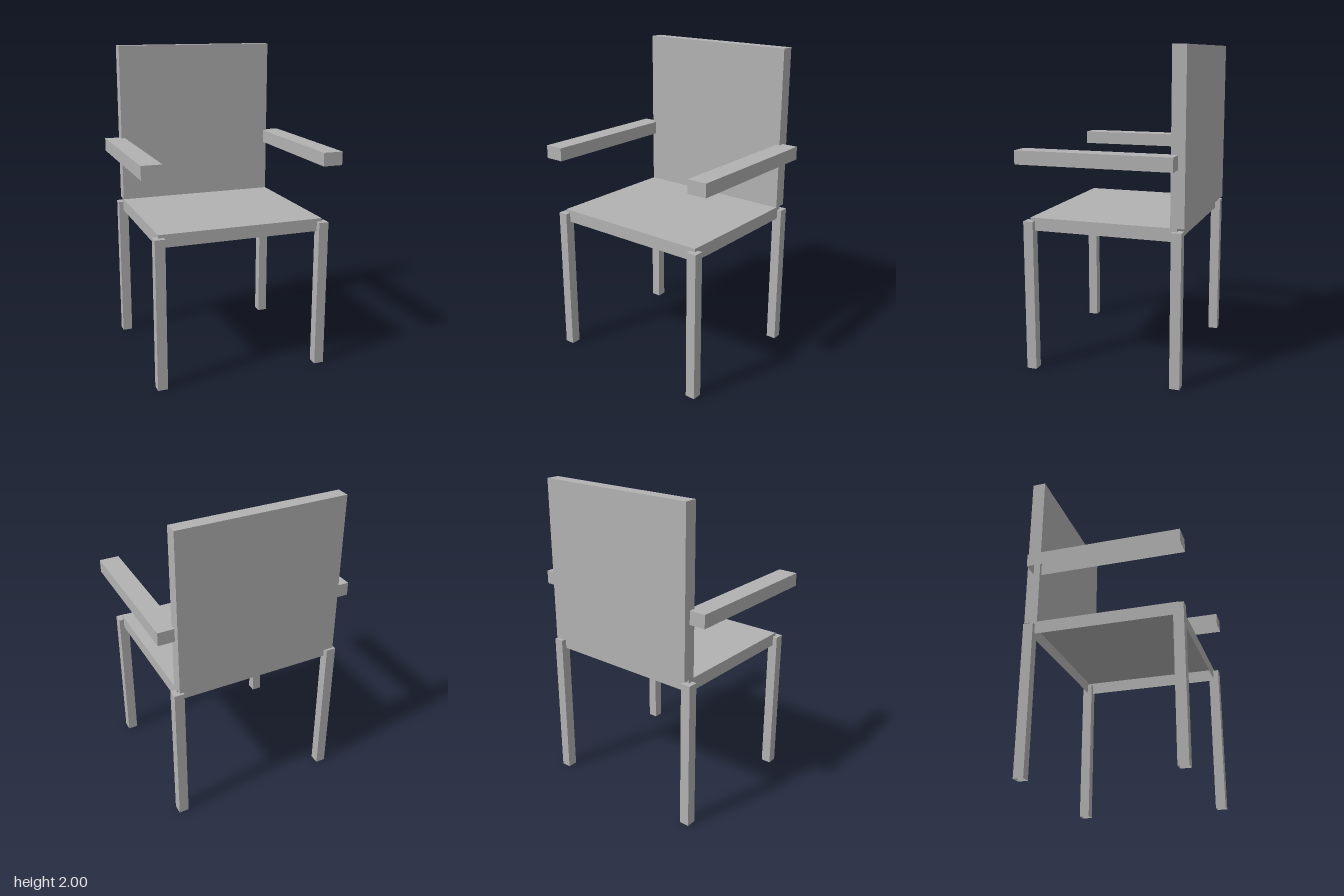
import * as THREE from 'three';

// Box shell with an open underside, given by its min and max on each axis
function shell(name, material, [x0, x1], [y0, y1], [z0, z1]) {
  const geometry = new THREE.BoxGeometry(x1 - x0, y1 - y0, z1 - z0);
  const index = Array.from(geometry.index.array);
  index.splice(18, 6); // drop the bottom face
  geometry.setIndex(index);
  geometry.clearGroups();
  geometry.translate((x0 + x1) / 2, (y0 + y1) / 2, (z0 + z1) / 2);
  const mesh = new THREE.Mesh(geometry, material);
  mesh.name = name;
  return mesh;
}

export function createModel() {
  const chair = new THREE.Group();
  chair.name = 'armchair';
  const grey = new THREE.MeshStandardMaterial({ color: 0xb2b2b2, side: THREE.DoubleSide });
  grey.name = 'plain grey';

  // Seat and backrest
  chair.add(shell('seat', grey, [-0.527, 0.527], [0.89, 0.97], [-0.462, 0.462]));
  chair.add(shell('backrest', grey, [-0.527, 0.527], [0.97, 2], [-0.505, -0.421]));

  // Arms and legs, mirrored left and right
  for (const [side, s] of [['left', 1], ['right', -1]]) {
    const span = (a, b) => (s > 0 ? [a, b] : [-b, -a]);
    chair.add(shell(side + 'Armrest', grey, span(0.504, 0.63), [1.308, 1.392], [-0.463, 0.505]));
    chair.add(shell(side + 'FrontLeg', grey, span(0.494, 0.557), [0, 0.95], [0.433, 0.496]));
    chair.add(shell(side + 'BackLeg', grey, span(0.494, 0.557), [0, 0.95], [-0.496, -0.433]));
  }
  return chair;
}
